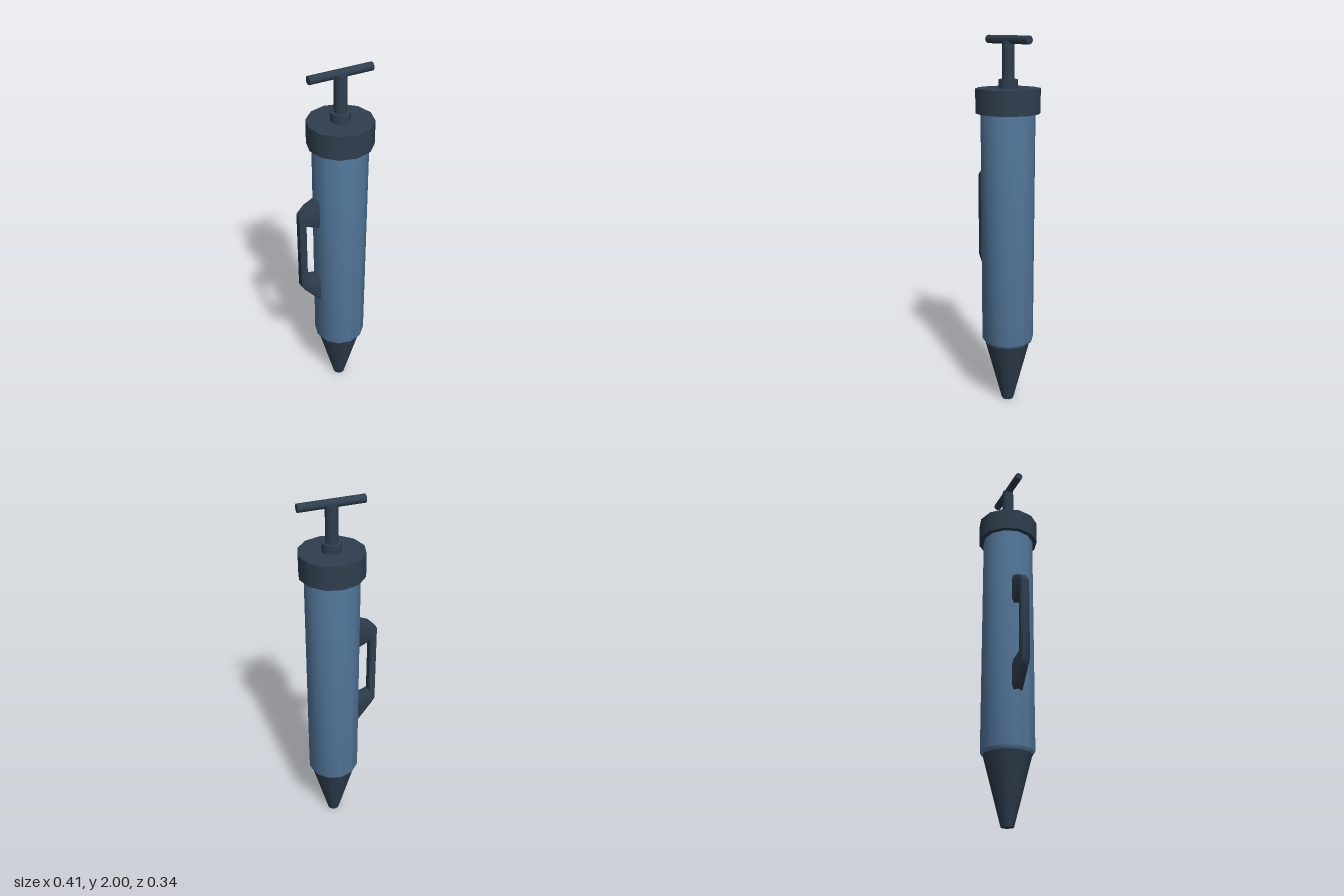
import * as THREE from 'three';
import { toCreasedNormals } from 'three/addons/utils/BufferGeometryUtils.js';

const AXIS = 0.037; // x of the pump's centre line

// Loft chamfered box sections along the grip: [outerX, outerY, innerX, innerY, halfWidth]
function loftGrip(sections) {
  const ring = [[0, 0.75], [0, -0.75], [0.15, -1], [0.85, -1], [1, -0.75], [1, 0.75], [0.85, 1], [0.15, 1]];
  const n = ring.length;
  const pos = [];
  const idx = [];
  for (const [ox, oy, ix, iy, w] of sections) {
    for (const [t, z] of ring) pos.push(ox + (ix - ox) * t, oy + (iy - oy) * t, z * w);
  }
  for (let s = 0; s < sections.length - 1; s++) {
    for (let k = 0; k < n; k++) {
      const a = s * n + k;
      const b = s * n + (k + 1) % n;
      idx.push(a, b, b + n, a, b + n, a + n);
    }
  }
  const geo = new THREE.BufferGeometry();
  geo.setAttribute('position', new THREE.Float32BufferAttribute(pos, 3));
  geo.setIndex(idx);
  return toCreasedNormals(geo, 0.6);
}

export function createModel() {
  const blue = new THREE.MeshStandardMaterial({ color: 0x557a9f });
  blue.name = 'steel blue';
  const dark = new THREE.MeshStandardMaterial({ color: 0x2f3e4e });
  dark.name = 'dark slate';

  const group = new THREE.Group();
  group.name = 'handPump';
  const add = (name, geo, mat) => {
    const mesh = new THREE.Mesh(geo, mat);
    mesh.name = name;
    group.add(mesh);
    return mesh;
  };
  // Upright round part between two heights
  const round = (name, mat, y0, y1, r0, r1, sides = 12) => {
    const mesh = add(name, new THREE.CylinderGeometry(r1, r0, y1 - y0, sides), mat);
    mesh.position.set(AXIS, (y0 + y1) / 2, 0);
    return mesh;
  };

  // Nozzle and barrel with a small bevel at its foot
  round('nozzle', dark, 0, 0.365, 0.033, 0.129);
  const profile = [[0, 0.358], [0.132, 0.358], [0.142, 0.375], [0.142, 1.63]]
    .map(([r, y]) => new THREE.Vector2(r, y));
  const barrel = add('barrel', toCreasedNormals(new THREE.LatheGeometry(profile, 12), 0.7), blue);
  barrel.position.x = AXIS;

  // Cap, collar and plunger rod
  round('cap', dark, 1.615, 1.74, 0.168, 0.168);
  round('collar', dark, 1.73, 1.785, 0.05, 0.05);
  round('plungerRod', dark, 1.74, 1.975, 0.032, 0.032);

  // Cross bar of the plunger
  const bar = add('plungerBar', new THREE.CylinderGeometry(0.021, 0.021, 0.335, 12), dark);
  bar.rotation.z = Math.PI / 2;
  bar.position.set(AXIS, 1.979, 0);

  // Side grip, sunk into the barrel at both ends
  add('sideGrip', loftGrip([
    [-0.085, 1.337, -0.085, 1.155, 0.032],
    [-0.165, 1.302, -0.15, 1.182, 0.026],
    [-0.205, 1.26, -0.167, 1.188, 0.024],
    [-0.205, 0.795, -0.167, 0.86, 0.024],
    [-0.185, 0.765, -0.15, 0.853, 0.025],
    [-0.085, 0.645, -0.085, 0.827, 0.032],
  ]), dark);

  return group;
}
